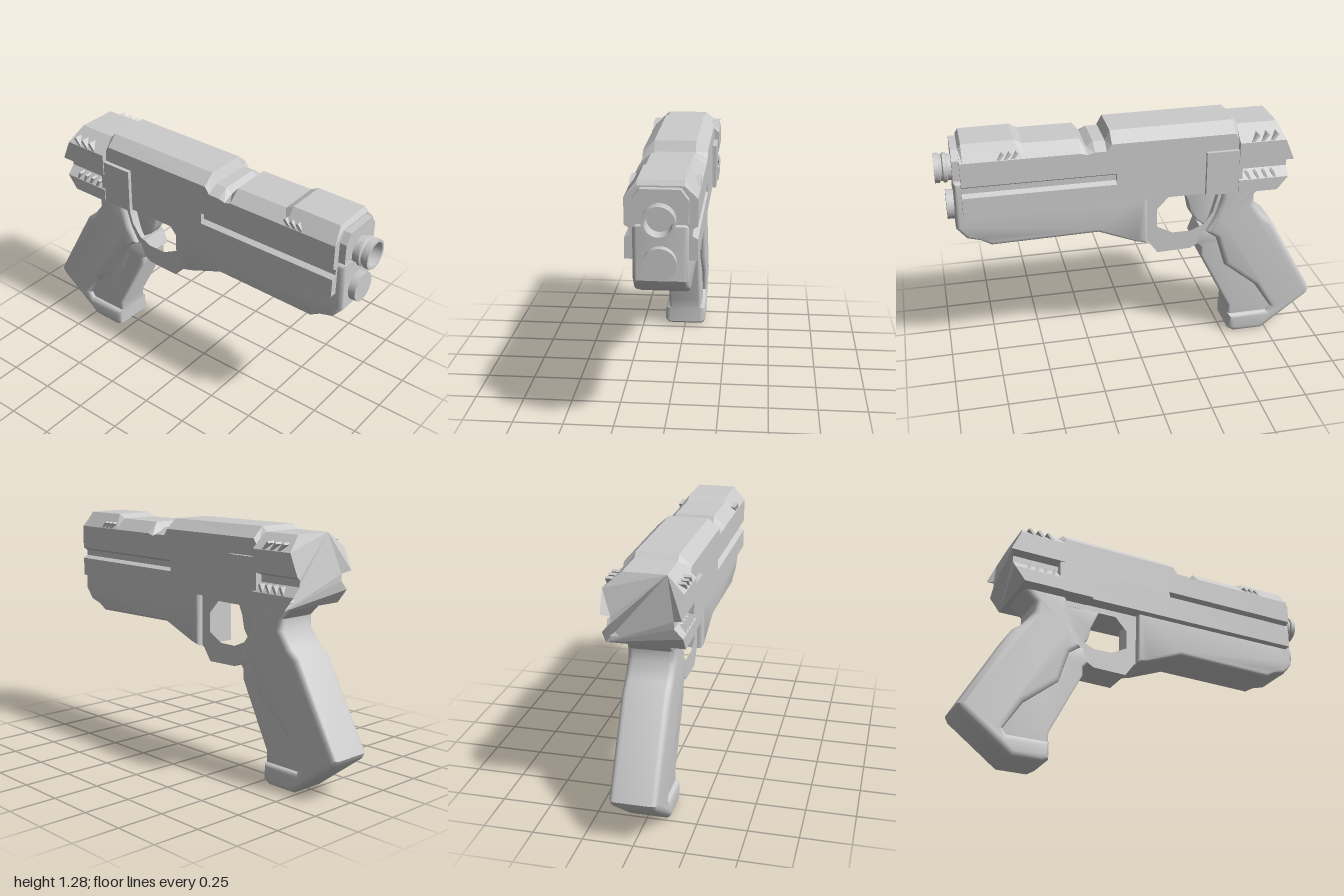
import * as THREE from 'three';
import { toCreasedNormals } from 'three/addons/utils/BufferGeometryUtils.js';

const material = new THREE.MeshStandardMaterial({ color: 0xcccccc });
const flatMaterial = new THREE.MeshStandardMaterial({ color: 0xcccccc, flatShading: true });

function add(parent, name, geometry, mat = material) {
  const mesh = new THREE.Mesh(geometry, mat);
  mesh.name = name;
  parent.add(mesh);
  return mesh;
}

// Side outline of [z, y] points, extruded symmetrically across x with rounded edges
function sidePlate(points, halfWidth, bevel = 0, hole) {
  const toVectors = (list) => list.map(([z, y]) => new THREE.Vector2(z, y));
  const shape = new THREE.Shape(toVectors(points));
  if (hole) shape.holes.push(new THREE.Path(toVectors(hole)));
  const depth = 2 * (halfWidth - bevel);
  const geometry = new THREE.ExtrudeGeometry(shape, {
    depth, bevelEnabled: bevel > 0, bevelSize: bevel, bevelThickness: bevel,
    bevelOffset: -bevel, bevelSegments: 4,
  });
  geometry.translate(0, 0, -depth / 2).rotateY(-Math.PI / 2);
  return toCreasedNormals(geometry, 0.7);
}

// Loft mirrored cross-sections, ordered front to back; each is a list of [x, y, z] for the +x side
function loft(halfSections) {
  const rings = halfSections.map((half) => [
    ...half, ...half.slice().reverse().map(([x, y, z]) => [-x, y, z]),
  ]);
  const positions = [];
  const triangle = (...corners) => corners.forEach((p) => positions.push(...p));
  const n = rings[0].length;
  for (let s = 0; s < rings.length - 1; s++) {
    for (let i = 0; i < n; i++) {
      const j = (i + 1) % n;
      const [a, b, c, d] = [rings[s][i], rings[s][j], rings[s + 1][j], rings[s + 1][i]];
      triangle(a, d, b);
      triangle(b, d, c);
    }
  }
  const cap = (ring, back) => {
    const contour = ring.map(([x, y]) => new THREE.Vector2(x, y));
    for (const [a, b, c] of THREE.ShapeUtils.triangulateShape(contour, [])) {
      triangle(ring[a], ring[back ? c : b], ring[back ? b : c]);
    }
  };
  cap(rings[0], false);
  cap(rings[rings.length - 1], true);
  const geometry = new THREE.BufferGeometry();
  geometry.setAttribute('position', new THREE.Float32BufferAttribute(positions, 3));
  geometry.computeVertexNormals();
  return geometry;
}

// Row of slanted ridges on both sides
function ridges(parent, name, centres, y, outerX, tilt) {
  for (const side of [1, -1]) {
    for (const z of centres) {
      const ridge = add(parent, name, new THREE.BoxGeometry(0.06, 0.085, 0.014), flatMaterial);
      ridge.position.set(side * (outerX - 0.03), y, z);
      ridge.rotation.x = tilt;
    }
  }
}

export function createModel() {
  const model = new THREE.Group();
  model.name = 'pistol';

  // Slide: [z, top height, shoulder height, side groove depth]
  const slide = [
    [0.88, 1.255, 1.2, 0.025], [0.865, 1.278, 1.2, 0.025], [0.61, 1.28, 1.2, 0.025],
    [0.57, 1.258, 1.2, 0.025], [0.29, 1.258, 1.2, 0.025], [0.255, 1.212, 1.19, 0.025],
    [0.22, 1.235, 1.2, 0.025], [0.16, 1.235, 1.2, 0.025], [0.135, 1.287, 1.235, 0.025],
    [0.11, 1.287, 1.235, 0.025], [0.11, 1.287, 1.235, 0], [-0.5, 1.29, 1.235, 0],
    [-0.53, 1.262, 1.19, 0],
  ].map(([z, top, shoulder, groove]) => [
    [0.164, 0.917, z], [0.164, 1.015, z], [0.164 - groove, 1.03, z],
    [0.164 - groove, 1.06, z], [0.164, 1.075, z], [0.164, shoulder, z], [0.105, top, z],
  ]);
  add(model, 'slide', loft(slide), flatMaterial);

  // Rear cover with a groove around it and a sloping back
  const coverProfile = [
    [0.19, 0.915, -0.73], [0.19, 0.985, -0.785], [0.148, 1.03, -0.785],
    [0.148, 1.065, -0.785], [0.19, 1.08, -0.81], [0.19, 1.19, -0.762], [0.105, 1.265, -0.73],
  ];
  const coverFront = coverProfile.map(([x, y]) => [x, y, -0.52]);
  add(model, 'rearCover', loft([coverFront, coverProfile]), flatMaterial);
  const panel = add(model, 'sidePanel', new THREE.BoxGeometry(0.37, 0.235, 0.19), flatMaterial);
  panel.position.set(0, 1.0325, -0.445);

  // Grip ridges
  ridges(model, 'frontRidge', [0.695, 0.66, 0.625], 1.2, 0.162, -0.7);
  ridges(model, 'upperRearRidge', [-0.59, -0.64, -0.69], 1.195, 0.188, -0.7);
  ridges(model, 'lowerRearRidge', [-0.58, -0.625, -0.67, -0.715], 0.985, 0.188, 0.45);

  // Frame under the slide, rising at the front to carry the muzzle
  add(model, 'frame', sidePlate([
    [0.915, 1.08], [0.92, 0.83], [0.87, 0.77], [0.8, 0.75], [0.75, 0.72], [0.2, 0.73],
    [0, 0.65], [-0.06, 0.635], [-0.06, 0.96], [0.8, 0.96], [0.8, 1.08],
  ], 0.125, 0.02));

  // Front plate with chamfered upper corners
  const plate = new THREE.Shape([
    [-0.125, 1.095], [0.125, 1.095], [0.125, 1.2], [0.09, 1.248], [-0.09, 1.248], [-0.125, 1.2],
  ].map(([x, y]) => new THREE.Vector2(x, y)));
  add(model, 'frontPlate', new THREE.ExtrudeGeometry(plate, { depth: 0.06, bevelEnabled: false })
    .translate(0, 0, 0.855), flatMaterial);

  // Hollow muzzle: radius and distance along z
  const muzzle = new THREE.LatheGeometry([
    [0.066, 0.87], [0.066, 0.935], [0.075, 0.94], [0.075, 0.955], [0.066, 0.96],
    [0.066, 0.97], [0.075, 0.975], [0.075, 1], [0.062, 1], [0.058, 0.93], [0, 0.93],
  ].map(([r, z]) => new THREE.Vector2(r, z)), 32).rotateX(Math.PI / 2);
  const muzzleMesh = add(model, 'muzzle', toCreasedNormals(muzzle, 0.5),
    new THREE.MeshStandardMaterial({ color: 0xcccccc, side: THREE.DoubleSide }));
  muzzleMesh.position.y = 1.12;
  const lamp = add(model, 'lowerLamp',
    new THREE.CylinderGeometry(0.075, 0.075, 0.08, 32).rotateX(Math.PI / 2));
  lamp.position.set(0, 0.917, 0.915);

  // Trigger guard and trigger
  add(model, 'triggerGuard', sidePlate([
    [-0.04, 0.94], [-0.04, 0.645], [-0.07, 0.63], [-0.12, 0.56], [-0.3, 0.565],
    [-0.36, 0.6], [-0.48, 0.68], [-0.52, 0.94],
  ], 0.092, 0, [
    [-0.115, 0.815], [-0.115, 0.715], [-0.2, 0.67], [-0.3, 0.67], [-0.37, 0.7],
    [-0.42, 0.77], [-0.45, 0.885], [-0.18, 0.885],
  ]));
  add(model, 'trigger', sidePlate([
    [-0.25, 0.92], [-0.295, 0.82], [-0.31, 0.75], [-0.345, 0.7], [-0.4, 0.66], [-0.47, 0.92],
  ], 0.04, 0.01));

  // Grip body with its wavy front edge and foot, and the narrower front strap
  add(model, 'grip', sidePlate([
    [-0.47, 0.97], [-0.46, 0.85], [-0.43, 0.75], [-0.38, 0.66], [-0.44, 0.615],
    [-0.492, 0.444], [-0.674, 0.294], [-0.77, 0.145], [-0.75, 0.118], [-0.53, 0.118],
    [-0.53, 0.027], [-0.567, 0.005], [-0.727, 0.005], [-0.985, 0.2], [-1, 0.23],
    [-0.75, 0.68], [-0.7, 0.72], [-0.64, 0.8], [-0.64, 0.855], [-0.7, 0.915], [-0.7, 0.97],
  ], 0.118, 0.03));
  add(model, 'frontStrap', sidePlate([
    [-0.36, 0.67], [-0.33, 0.59], [-0.358, 0.56], [-0.358, 0.51], [-0.53, 0.17],
    [-0.53, 0.08], [-0.8, 0.08], [-0.8, 0.25], [-0.6, 0.62],
  ], 0.094, 0.015));

  return model;
}
